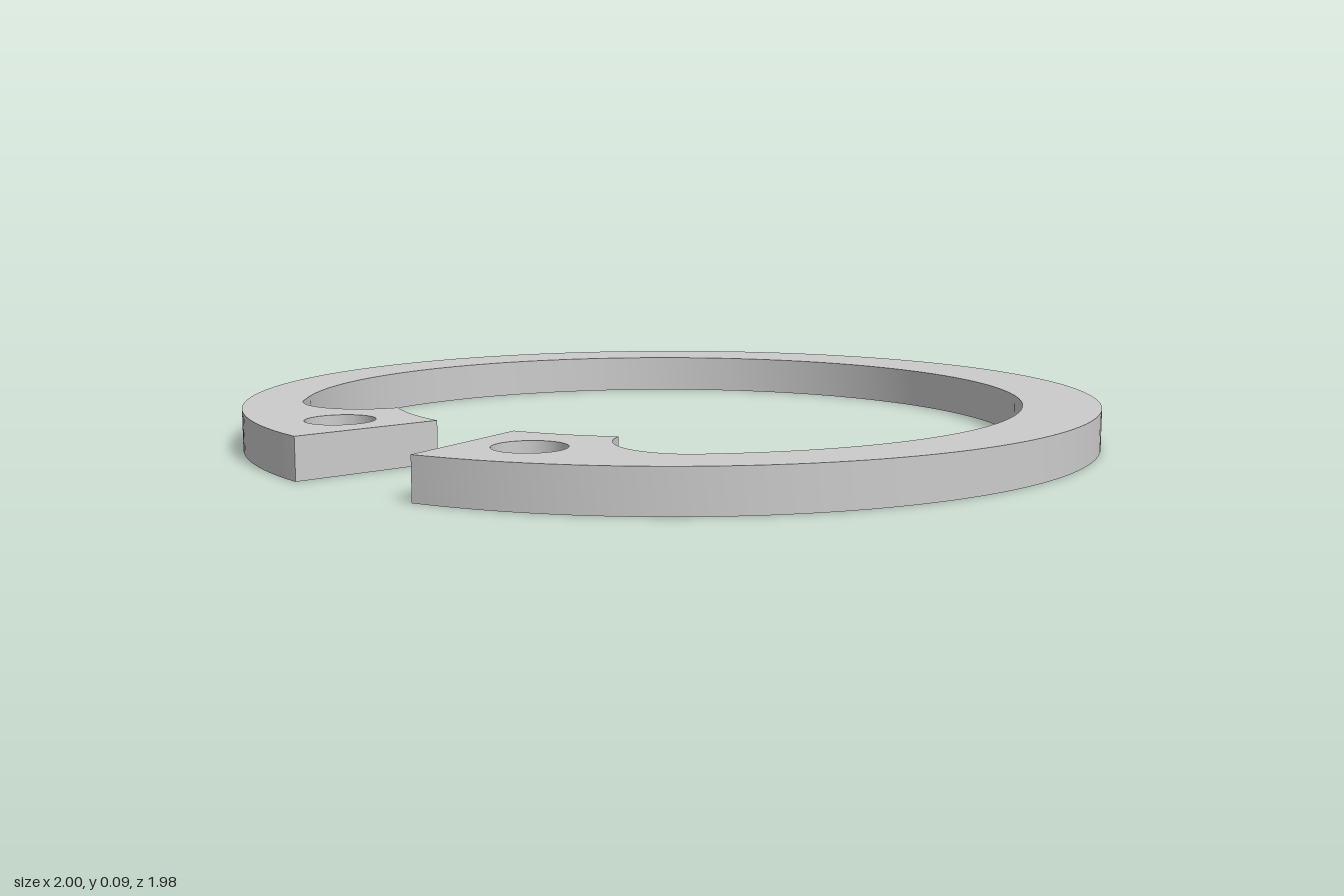
import * as THREE from 'three';
import { toCreasedNormals } from 'three/addons/utils/BufferGeometryUtils.js';

const THICKNESS = 0.093;
const OUTER_Z = 0.0076; // centre of the outer rim
const INNER_Z = 0.043; // inner rim is offset towards the gap

// Points on an arc; angles in degrees from the front (+z) towards +x.
// Shape y is -z, so the extrusion can be laid flat.
function arc(cx, cz, r, from, to, steps) {
  return Array.from({ length: steps + 1 }, (_, i) => {
    const a = THREE.MathUtils.degToRad(from + ((to - from) * i) / steps);
    return new THREE.Vector2(cx + r * Math.sin(a), -(cz + r * Math.cos(a)));
  });
}

export function createModel() {
  const group = new THREE.Group();
  group.name = 'retainingRing';

  // Half outline: outer rim, lug end and inner edge, relief notch, inner rim
  const half = [
    ...arc(0, OUTER_Z, 1, 180, 10, 90),
    ...arc(0, OUTER_Z, 0.663, 10, 30, 10),
    ...arc(0.48, 0.534, 0.155, -72.5, 44.4, 28).slice(1),
    ...arc(0, INNER_Z, 0.84, 44.4, 180, 72).slice(1),
  ];
  const mirrored = half.slice(1, -1).reverse().map((p) => new THREE.Vector2(-p.x, p.y));
  const shape = new THREE.Shape([...half, ...mirrored]);

  // Plier holes in the two lugs
  for (const side of [-1, 1]) {
    shape.holes.push(new THREE.Path(arc(side * 0.283, 0.786, 0.076, 0, 360, 48).slice(0, -1)));
  }

  const flat = new THREE.ExtrudeGeometry(shape, { depth: THICKNESS, bevelEnabled: false });
  flat.rotateX(-Math.PI / 2);
  const ring = new THREE.Mesh(
    toCreasedNormals(flat, 0.5),
    new THREE.MeshStandardMaterial({ color: 0xcccccc })
  );
  ring.name = 'ringWithLugs';
  group.add(ring);
  return group;
}
